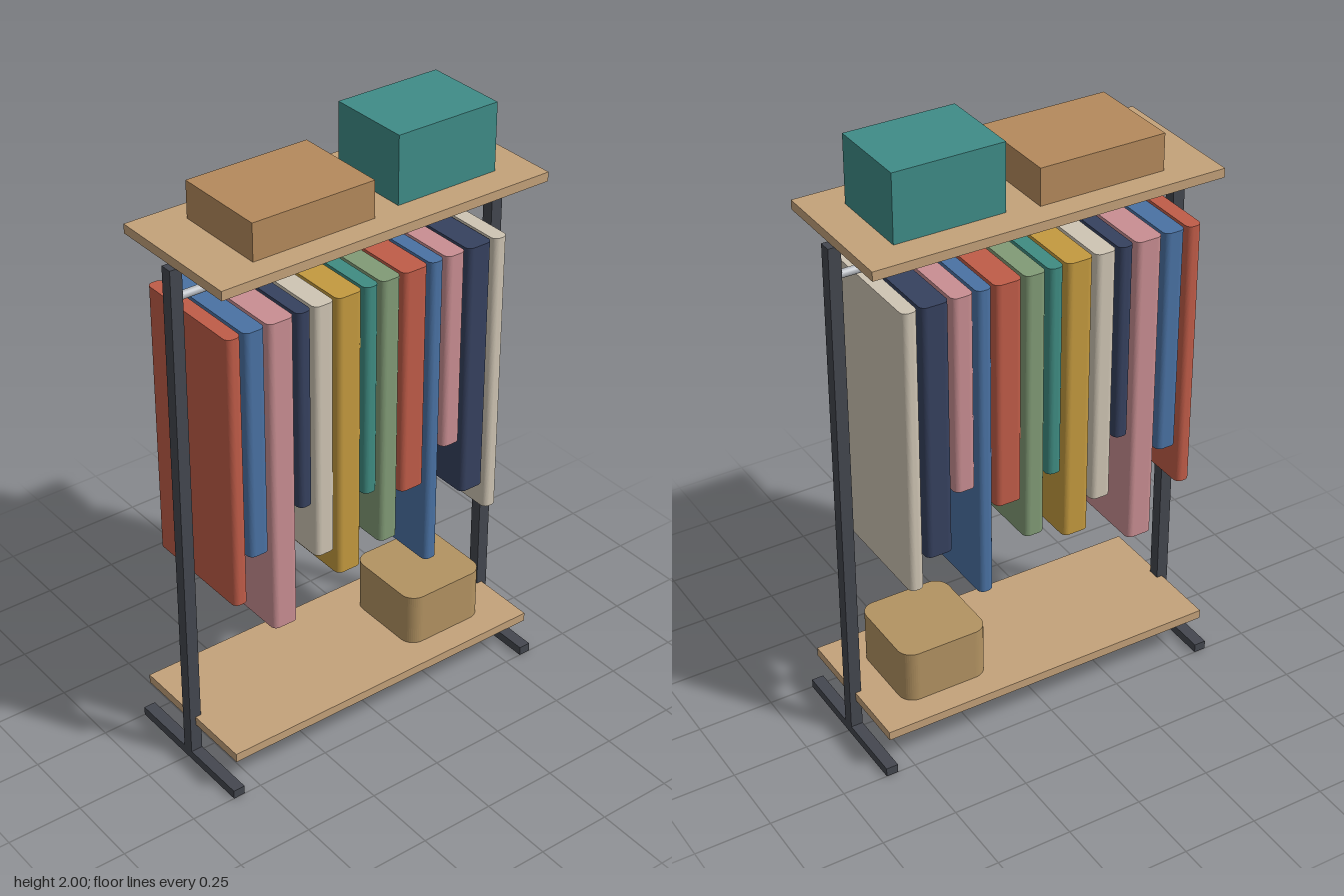
import * as THREE from 'three';

const WOOD = 0xc4a27a, STEEL = 0x44474f;

export function createModel() {
  const model = new THREE.Group();

  const add = (name, geometry, color, x, y, z = 0) => {
    const mesh = new THREE.Mesh(geometry, new THREE.MeshStandardMaterial({ color }));
    mesh.name = name;
    mesh.position.set(x, y, z);
    model.add(mesh);
    return mesh;
  };

  // Box given by its centre x, bottom y and size
  const box = (name, color, x, y, w, h, d) =>
    add(name, new THREE.BoxGeometry(w, h, d), color, x, y + h / 2);

  // Upright block whose four vertical edges are rounded
  const roundedBlock = (name, color, x, y, w, h, d, r) => {
    const a = w / 2, b = d / 2;
    const s = new THREE.Shape();
    s.moveTo(-a + r, -b);
    s.lineTo(a - r, -b);
    s.absarc(a - r, -b + r, r, -Math.PI / 2, 0);
    s.lineTo(a, b - r);
    s.absarc(a - r, b - r, r, 0, Math.PI / 2);
    s.lineTo(-a + r, b);
    s.absarc(-a + r, b - r, r, Math.PI / 2, Math.PI);
    s.lineTo(-a, -b + r);
    s.absarc(-a + r, -b + r, r, Math.PI, Math.PI * 1.5);
    const g = new THREE.ExtrudeGeometry(s, { depth: h, bevelEnabled: false, curveSegments: 6 });
    g.rotateX(-Math.PI / 2);
    return add(name, g, color, x, y);
  };

  // End frames: post on a long foot
  for (const [side, sign] of [['left', 1], ['right', -1]]) {
    box(side + 'Post', STEEL, sign * 0.58, 0, 0.04, 1.75, 0.04);
    box(side + 'Foot', STEEL, sign * 0.58, 0, 0.04, 0.03, 0.5);
  }

  // Shelves and hanging rail
  box('lowerShelf', WOOD, 0, 0.13, 1.16, 0.03, 0.48);
  box('upperShelf', WOOD, 0, 1.75, 1.16, 0.03, 0.48);
  const rail = add('rail', new THREE.CylinderGeometry(0.013, 0.013, 1.14, 20), 0xb4b8be, 0, 1.65);
  rail.rotation.z = Math.PI / 2;

  // Storage on the shelves
  box('storageBox', 0xb58a5c, -0.21, 1.78, 0.42, 0.12, 0.32);
  box('tallBox', 0x3f8c88, 0.28, 1.78, 0.36, 0.22, 0.28);
  roundedBlock('basket', 0xb39362, 0.32, 0.16, 0.3, 0.18, 0.3, 0.05);

  // Row of hanging garments, cycling through widths, lengths and colors
  const widths = [0.05, 0.07, 0.09];
  const lengths = [0.91, 0.76, 1.06, 0.66, 0.86, 0.96, 0.71];
  const colors = [0xc05c48, 0x4a72a4, 0xc98e92, 0x36415f, 0xcfc5b4, 0xc49a3f, 0x3f8c82, 0x819b76];
  let x = -0.54;
  for (let i = 0; i < 13; i++) {
    const w = widths[i % 3], h = lengths[i % 7];
    roundedBlock('garment' + (i + 1), colors[i % 8], x + w / 2, 1.59 - h, w, h, 0.4, 0.02);
    x += w + 0.01;
  }

  return model;
}
